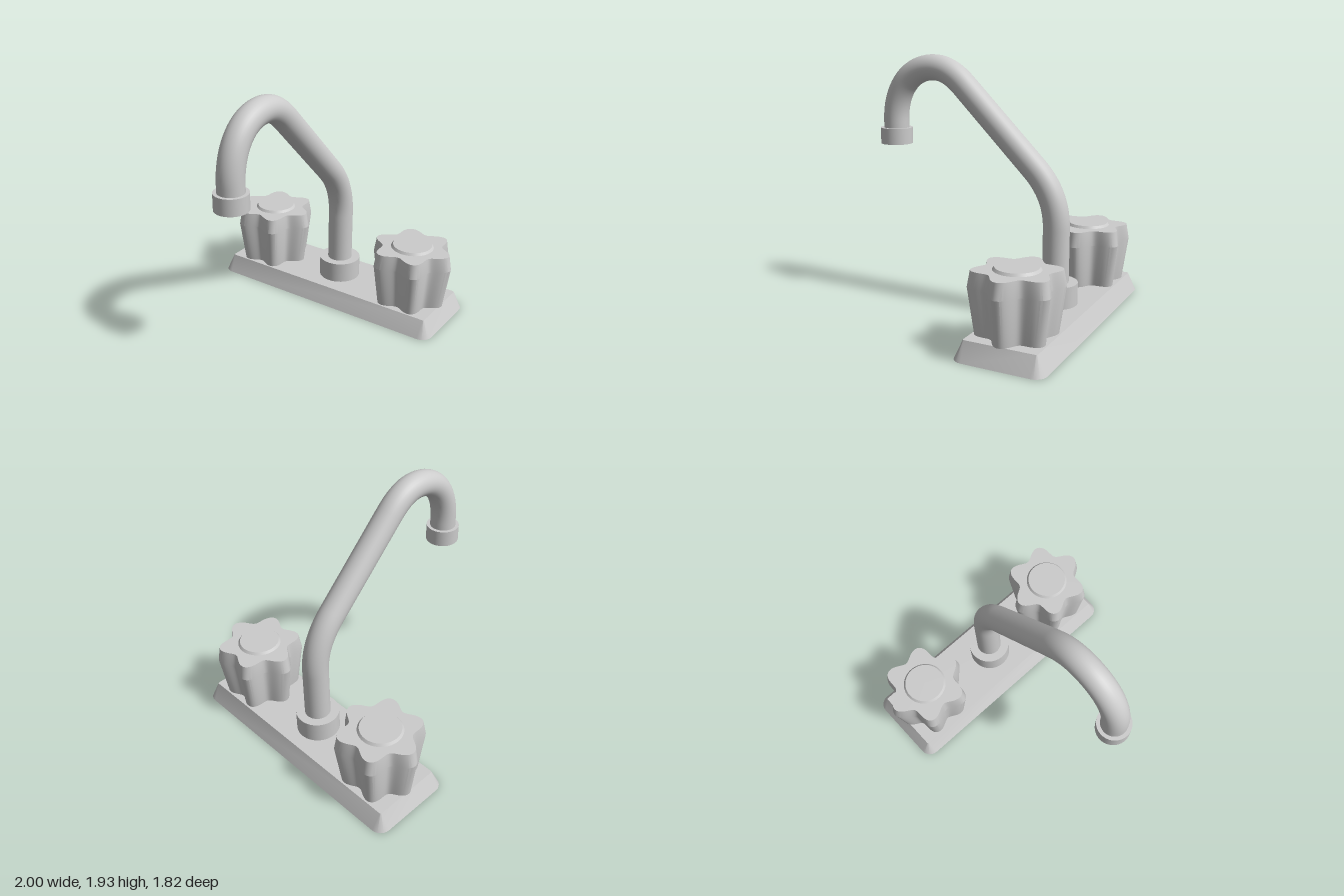
import * as THREE from 'three';
import { toCreasedNormals } from 'three/addons/utils/BufferGeometryUtils.js';

const material = new THREE.MeshStandardMaterial({ color: 0xcccccc });
const BACK = -0.577; // z of the base, knobs and spout foot

// Closed solid through rings of [x, z] points, each ring at its own height
function loft(rings, crease) {
  const n = rings[0].points.length;
  const positions = [], index = [];
  for (const { y, points } of rings) {
    for (const [x, z] of points) positions.push(x, y, z);
  }
  for (let i = 0; i < rings.length - 1; i++) {
    for (let j = 0; j < n; j++) {
      const a = i * n + j, b = i * n + (j + 1) % n;
      index.push(a, b, b + n, a, b + n, a + n);
    }
  }
  const bottom = positions.length / 3, top = bottom + 1, last = (rings.length - 1) * n;
  positions.push(0, rings[0].y, 0, 0, rings[rings.length - 1].y, 0);
  for (let j = 0; j < n; j++) {
    const k = (j + 1) % n;
    index.push(bottom, k, j, top, last + j, last + k);
  }
  const geometry = new THREE.BufferGeometry();
  geometry.setAttribute('position', new THREE.Float32BufferAttribute(positions, 3));
  geometry.setIndex(index);
  return toCreasedNormals(geometry, crease);
}

function roundedRect(halfX, halfZ, r, steps = 6) {
  const points = [];
  [[1, 1], [-1, 1], [-1, -1], [1, -1]].forEach(([sx, sz], corner) => {
    for (let i = 0; i <= steps; i++) {
      const t = (corner + i / steps) * Math.PI / 2;
      points.push([sx * (halfX - r) + r * Math.cos(t), -sz * (halfZ - r) - r * Math.sin(t)]);
    }
  });
  return points;
}

// Six-lobed outline, r is the radius at a lobe tip
function lobed(r, steps = 144) {
  return Array.from({ length: steps }, (_, i) => {
    const t = i / steps * Math.PI * 2;
    const d = r * (0.87 + 0.13 * Math.cos(6 * t));
    return [d * Math.cos(t), -d * Math.sin(t)];
  });
}

function add(parent, name, geometry, x = 0, y = 0, z = 0) {
  const mesh = new THREE.Mesh(geometry, material);
  mesh.name = name;
  mesh.position.set(x, y, z);
  parent.add(mesh);
  return mesh;
}

export function createModel() {
  const faucet = new THREE.Group();
  faucet.name = 'faucet';

  // Base plate with sloping sides
  add(faucet, 'basePlate', loft([
    { y: 0, points: roundedRect(1, 0.333, 0.085) },
    { y: 0.137, points: roundedRect(0.935, 0.268, 0.012) },
  ], 0.4), 0, 0, BACK);

  // Pair of fluted knobs with a raised button
  const knobGeometry = loft([
    { y: 0.135, points: lobed(0.285) },
    { y: 0.468, points: lobed(0.333) },
    { y: 0.583, points: lobed(0.312) },
  ], 0.3);
  const buttonGeometry = new THREE.CylinderGeometry(0.152, 0.167, 0.02, 48);
  for (const [side, sign] of [['left', 1], ['right', -1]]) {
    const knob = new THREE.Group();
    knob.name = side + 'Knob';
    knob.position.set(sign * 0.667, 0, BACK);
    add(knob, side + 'KnobBody', knobGeometry);
    add(knob, side + 'KnobButton', buttonGeometry, 0, 0.592, 0);
    faucet.add(knob);
  }

  // Collar at the spout foot
  add(faucet, 'spoutCollar', new THREE.CylinderGeometry(0.165, 0.165, 0.167, 48), 0, 0.2165, BACK);

  // Bent spout: upright, lower bend, straight slope, then the arch over the outlet
  const p = (z, y) => new THREE.Vector3(0, y, z);
  const path = new THREE.CurvePath();
  path.add(new THREE.LineCurve3(p(BACK, 0.25), p(BACK, 0.7)));
  path.add(new THREE.CubicBezierCurve3(p(BACK, 0.7), p(BACK, 0.87), p(-0.515, 1.01), p(-0.395, 1.13)));
  path.add(new THREE.LineCurve3(p(-0.395, 1.13), p(0.18, 1.705)));
  path.add(new THREE.CubicBezierCurve3(p(0.18, 1.705), p(0.26, 1.785), p(0.34, 1.835), p(0.44, 1.835)));
  path.add(new THREE.CubicBezierCurve3(p(0.44, 1.835), p(0.65, 1.835), p(0.788, 1.66), p(0.788, 1.42)));
  path.add(new THREE.LineCurve3(p(0.788, 1.42), p(0.788, 1.3)));
  add(faucet, 'spout', new THREE.TubeGeometry(path, 100, 0.098, 32));

  // Outlet ring at the tip
  add(faucet, 'spoutOutlet', new THREE.CylinderGeometry(0.125, 0.125, 0.125, 48), 0, 1.298, 0.788);

  return faucet;
}
